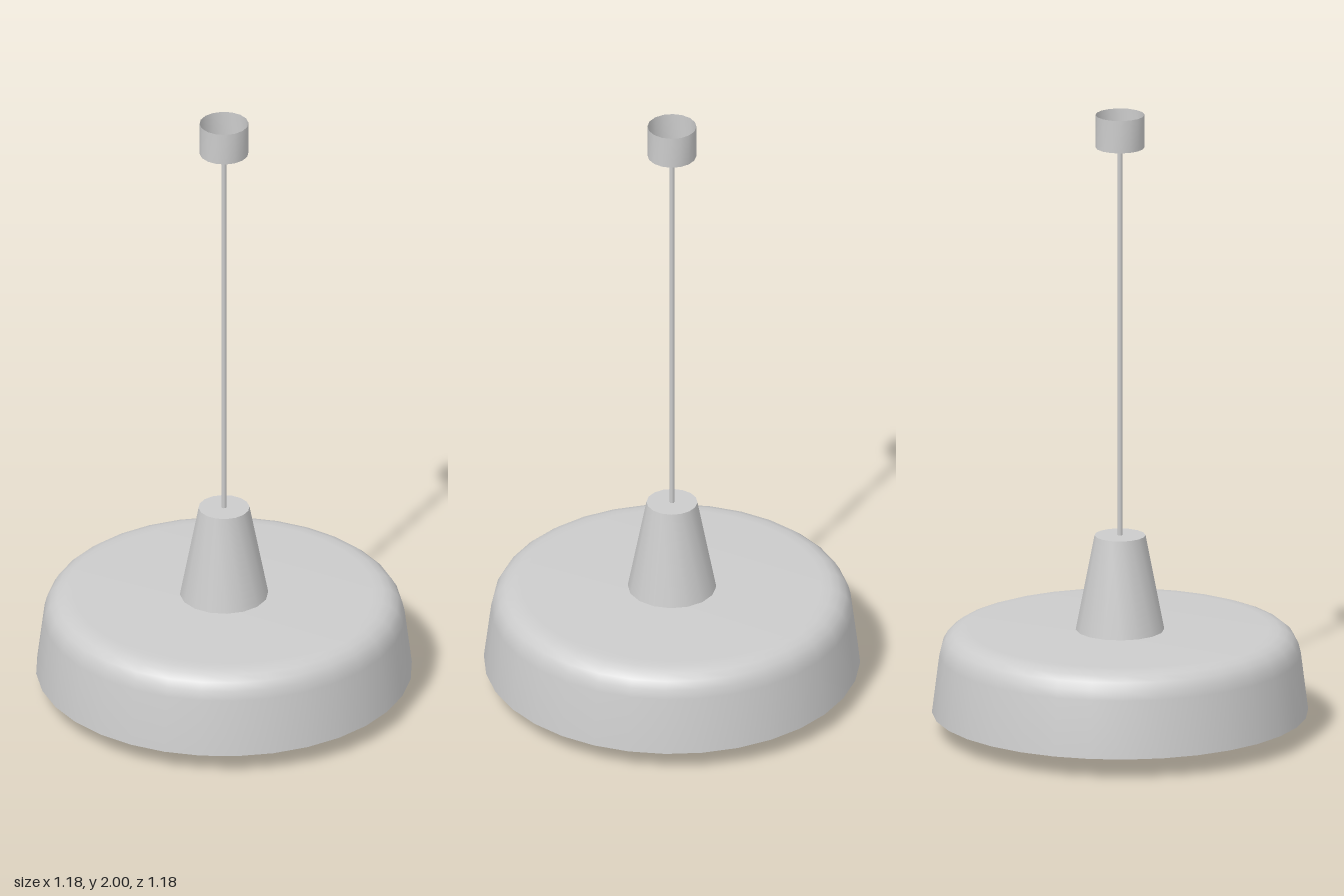
import * as THREE from 'three';
import { toCreasedNormals } from 'three/addons/utils/BufferGeometryUtils.js';

const material = new THREE.MeshStandardMaterial({ color: 0xcccccc, side: THREE.DoubleSide });

function add(group, name, geometry) {
  const mesh = new THREE.Mesh(geometry, material);
  mesh.name = name;
  group.add(mesh);
  return mesh;
}

// Surface of revolution from [radius, height] pairs, with sharp edges kept
function turned(points, sides) {
  const profile = points.map(([r, y]) => new THREE.Vector2(r, y));
  return toCreasedNormals(new THREE.LatheGeometry(profile, sides), 0.6);
}

export function createModel() {
  const lamp = new THREE.Group();
  lamp.name = 'pendantLamp';

  // Wide drum shade with rounded shoulder and closed underside
  add(lamp, 'shade', turned([
    [0, 0.066], [0.59, 0.066], [0.567, 0.25], [0.56, 0.279], [0.546, 0.303],
    [0.525, 0.32], [0.5, 0.329], [0.47, 0.331], [0, 0.331],
  ], 32));

  // Tapered neck on the shade
  add(lamp, 'neck', turned([[0.14, 0.325], [0.08, 0.636], [0, 0.636]], 16));

  // Hanging cord
  const cord = add(lamp, 'cord', new THREE.CylinderGeometry(0.008, 0.008, 1.29, 8));
  cord.position.y = 1.27;

  // Ceiling cup, open at the top, floor set slightly in
  add(lamp, 'ceilingCup', turned([[0.077, 2], [0.077, 1.895]], 16));
  add(lamp, 'ceilingCupFloor', turned([[0, 1.91], [0.077, 1.91]], 16));

  // Knob below the shade: solid core, lower band and tapering teeth
  const knob = new THREE.Group();
  knob.name = 'knob';
  lamp.add(knob);
  add(knob, 'knobCore', turned([[0, 0.004], [0.045, 0.004], [0.045, 0.07]], 12));
  add(knob, 'knobBand', turned([[0, 0], [0.054, 0], [0.059, 0.03], [0.044, 0.03]], 12));
  const teeth = 10;
  for (let i = 0; i < teeth; i++) {
    const tooth = new THREE.CylinderGeometry(0.011, 0.016, 0.042, 4, 1);
    tooth.rotateY(Math.PI / 4);
    tooth.translate(0, 0.048, 0.053);
    tooth.rotateY((i / teeth) * Math.PI * 2);
    add(knob, 'knobTooth', toCreasedNormals(tooth, 0.6));
  }

  return lamp;
}
